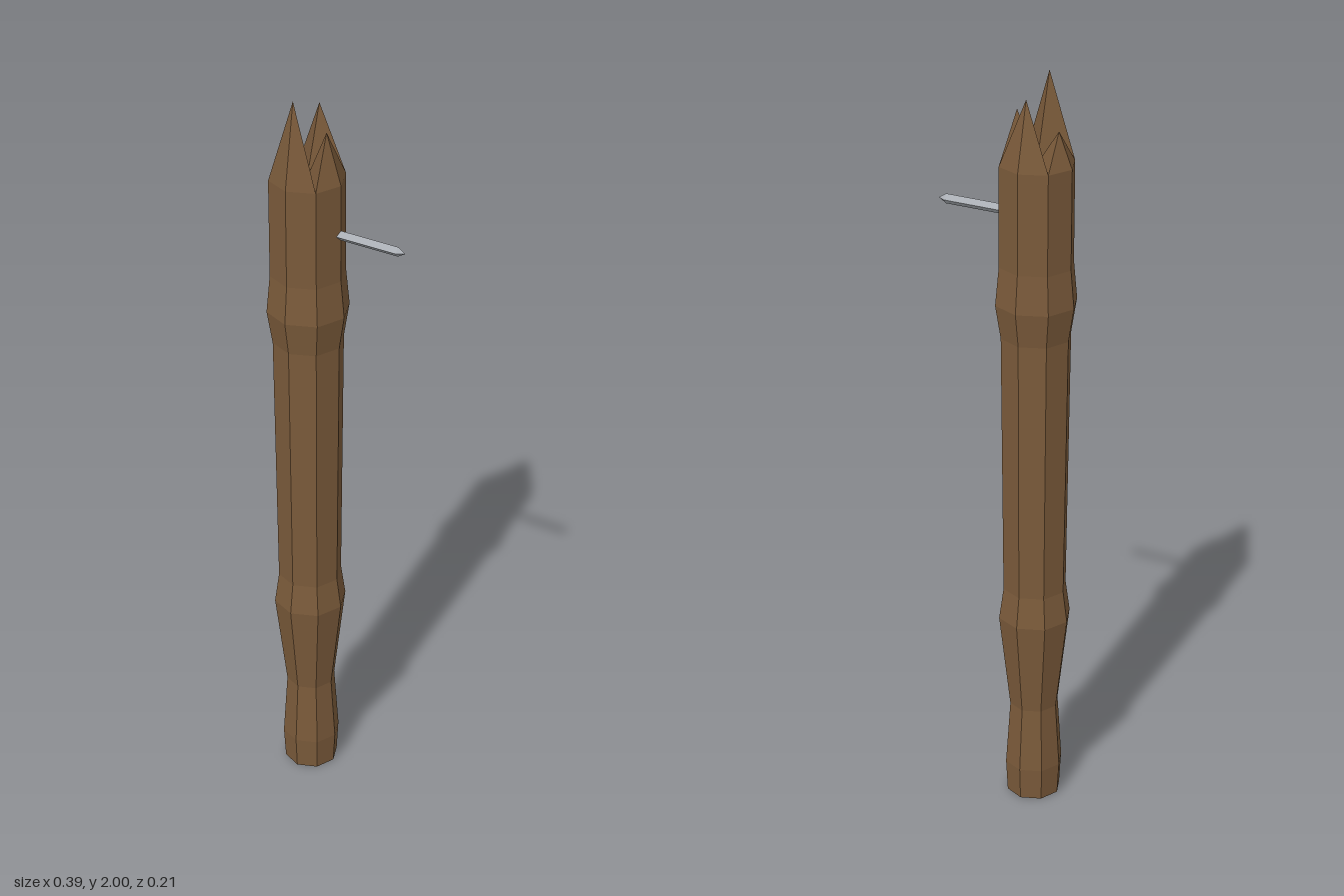
import * as THREE from 'three';

const SIDES = 8;
const CENTER_X = -0.087;
const RIM_Y = 1.78;
const RIM_R = 0.097;

// Faceted copy of a geometry: every face keeps its own normal
function faceted(geometry) {
  const flat = geometry.index ? geometry.toNonIndexed() : geometry;
  flat.computeVertexNormals();
  return flat;
}

// Point around the post axis, step 0 = front, step 2 = +x
function around(step, radius, y) {
  const a = (step / SIDES) * Math.PI * 2;
  return new THREE.Vector3(Math.sin(a) * radius, y, Math.cos(a) * radius);
}

// Splinter: a pyramid standing on a quarter of the rim
function splinterGeometry(step, radius, height) {
  const tip = around(step, radius, height);
  const base = [
    new THREE.Vector3(0, RIM_Y, 0),
    around(step - 1, RIM_R, RIM_Y),
    around(step, RIM_R, RIM_Y),
    around(step + 1, RIM_R, RIM_Y),
  ];
  const points = [];
  base.forEach((p, i) => points.push(p, base[(i + 1) % base.length], tip));
  return faceted(new THREE.BufferGeometry().setFromPoints(points));
}

export function createModel() {
  const wood = new THREE.MeshStandardMaterial({ color: 0x7a5a3a });
  wood.name = 'wood';
  const iron = new THREE.MeshStandardMaterial({ color: 0xa9adb3 });
  iron.name = 'iron';

  const model = new THREE.Group();
  model.name = 'spikedPost';
  const post = new THREE.Group();
  post.name = 'post';
  post.position.x = CENTER_X;
  model.add(post);

  // Shaft with grip, knots and closed bottom: [radius, height]
  const profile = [
    [0, 0], [0.073, 0], [0.078, 0.09], [0.066, 0.27], [0.097, 0.535], [0.085, 0.62],
    [0.092, 1.33], [0.1065, 1.42], [0.097, 1.52], [RIM_R, RIM_Y],
  ].map(([r, y]) => new THREE.Vector2(r, y));
  const shaft = new THREE.Mesh(faceted(new THREE.LatheGeometry(profile, SIDES)), wood);
  shaft.name = 'shaft';
  post.add(shaft);

  // Broken top: [step around the rim, tip radius, tip height]
  const splinters = [
    ['frontSplinter', 0, 0.06, 2.0],
    ['leftSplinter', 2, 0.056, 1.91],
    ['backSplinter', 4, 0.056, 1.955],
    ['rightSplinter', 6, 0.06, 1.87],
  ];
  for (const [name, step, radius, height] of splinters) {
    const splinter = new THREE.Mesh(splinterGeometry(step, radius, height), wood);
    splinter.name = name;
    post.add(splinter);
  }

  // Four-sided nail pointing to +x
  const nail = new THREE.Group();
  nail.name = 'nail';
  nail.position.y = 1.647;
  nail.rotation.z = -Math.PI / 2;
  const addPart = (name, geometry, from, to) => {
    const mesh = new THREE.Mesh(faceted(geometry), iron);
    mesh.name = name;
    mesh.position.y = (from + to) / 2;
    nail.add(mesh);
  };
  addPart('nailShank', new THREE.CylinderGeometry(0.013, 0.013, 0.202, 4), -0.03, 0.172);
  addPart('nailTip', new THREE.ConeGeometry(0.013, 0.021, 4, 1, true), 0.172, 0.193);
  model.add(nail);

  return model;
}
